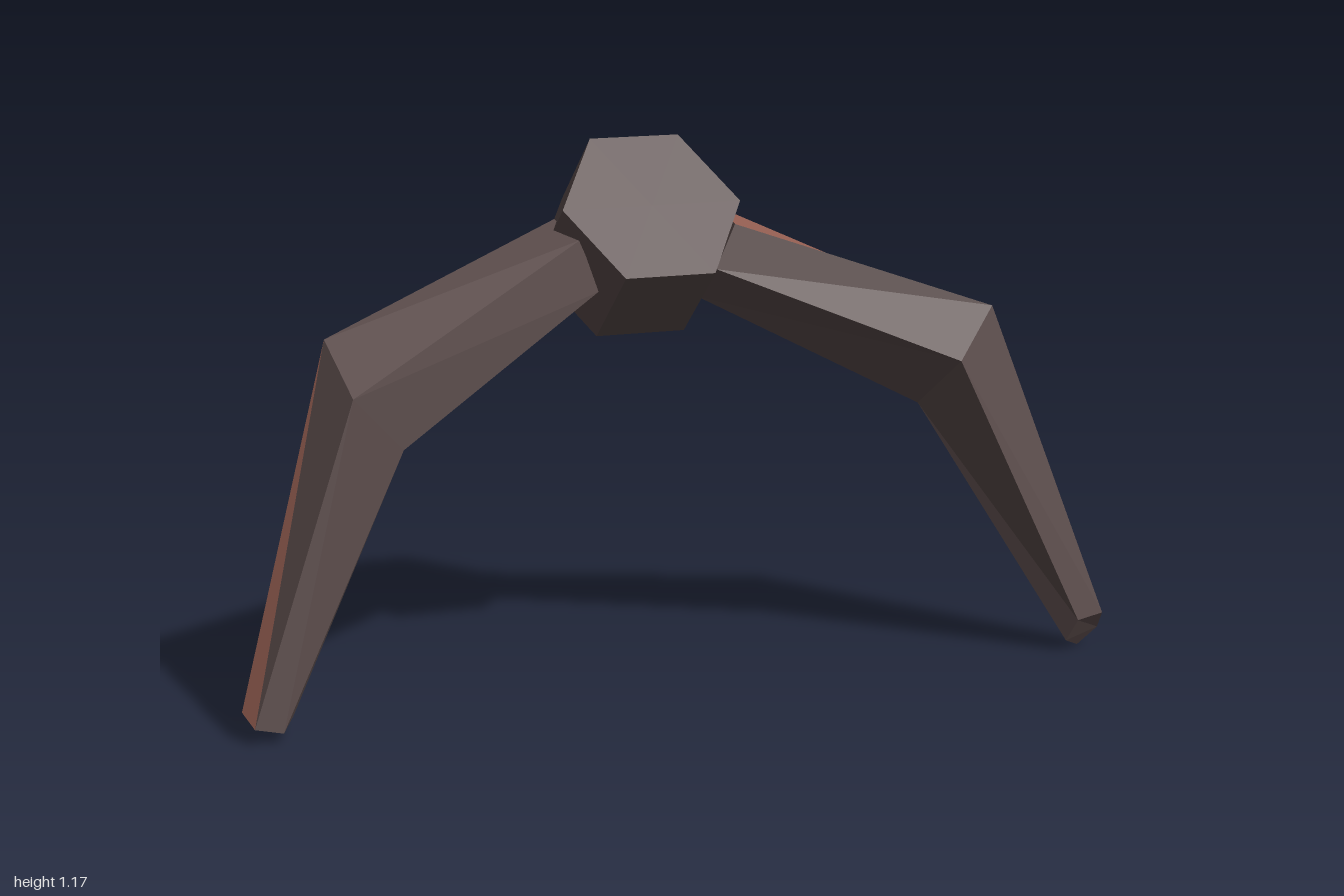
import * as THREE from 'three';

function material(name, color) {
  const m = new THREE.MeshStandardMaterial({ color });
  m.name = name;
  return m;
}

// Loft through matching five-sided sections; the first side of each section is the accent strip.
function loft(sections, flip) {
  const gray = [], accent = [];
  const tri = (out, a, b, c) => out.push(...a, ...(flip ? [...c, ...b] : [...b, ...c]));
  const n = sections[0].length;
  for (let k = 0; k < sections.length - 1; k++) {
    const s = sections[k], t = sections[k + 1];
    for (let i = 0; i < n; i++) {
      const j = (i + 1) % n;
      const out = i === 0 ? accent : gray;
      tri(out, s[i], s[j], t[i]);
      tri(out, s[j], t[j], t[i]);
    }
  }
  // end caps
  const first = sections[0], last = sections[sections.length - 1];
  for (let i = 1; i < n - 1; i++) {
    tri(gray, first[0], first[i + 1], first[i]);
    tri(gray, last[0], last[i], last[i + 1]);
  }
  const g = new THREE.BufferGeometry();
  g.setAttribute('position', new THREE.Float32BufferAttribute([...gray, ...accent], 3));
  g.addGroup(0, gray.length / 3, 0);
  g.addGroup(gray.length / 3, accent.length / 3, 1);
  g.computeVertexNormals();
  return g;
}

export function createModel() {
  const model = new THREE.Group();
  model.name = 'bentLegs';
  const materials = [material('darkGray', 0x5b4c4b), material('rustBrown', 0x925d50)];

  // Hexagonal hub, tilted forward, with the upper rear side in the accent colour
  const hubGeo = new THREE.CylinderGeometry(0.206, 0.206, 0.248, 6, 1, false, Math.PI / 6).toNonIndexed();
  hubGeo.clearGroups();
  hubGeo.addGroup(0, 12, 0);
  hubGeo.addGroup(12, 6, 1);
  hubGeo.addGroup(18, 54, 0);
  hubGeo.computeVertexNormals();
  const hub = new THREE.Mesh(hubGeo, materials);
  hub.name = 'hub';
  hub.rotation.x = THREE.MathUtils.degToRad(50);
  hub.position.set(-0.01, 0.955, -0.08);
  model.add(hub);

  // Legs: hip, knee and foot sections, starting at the upper rear corner
  const leftLeg = new THREE.Mesh(loft([
    [[0.2, 1.0, -0.1], [0.18, 0.985, 0.025], [0.13, 0.89, 0.04], [0.13, 0.81, -0.07], [0.19, 0.87, -0.15]],
    [[0.76, 0.745, -0.013], [0.745, 0.79, 0.16], [0.635, 0.685, 0.235], [0.59, 0.57, 0.11], [0.65, 0.605, -0.045]],
    [[0.995, 0.04, 0.23], [0.985, 0.085, 0.27], [0.915, 0.078, 0.287], [0.9, 0.025, 0.26], [0.95, 0, 0.22]],
  ], false), materials);
  leftLeg.name = 'leftLeg';

  const rightLeg = new THREE.Mesh(loft([
    [[-0.2, 0.907, -0.155], [-0.2, 1.0, -0.09], [-0.18, 0.97, 0.025], [-0.14, 0.855, 0.03], [-0.14, 0.815, -0.083]],
    [[-0.67, 0.725, -0.05], [-0.765, 0.8, 0.07], [-0.745, 0.7, 0.22], [-0.63, 0.577, 0.19], [-0.6, 0.59, 0.02]],
    [[-1, 0.06, 0.235], [-0.985, 0.035, 0.284], [-0.925, 0.022, 0.288], [-0.895, 0.045, 0.25], [-0.945, 0.07, 0.215]],
  ], true), materials);
  rightLeg.name = 'rightLeg';

  model.add(leftLeg, rightLeg);
  return model;
}
